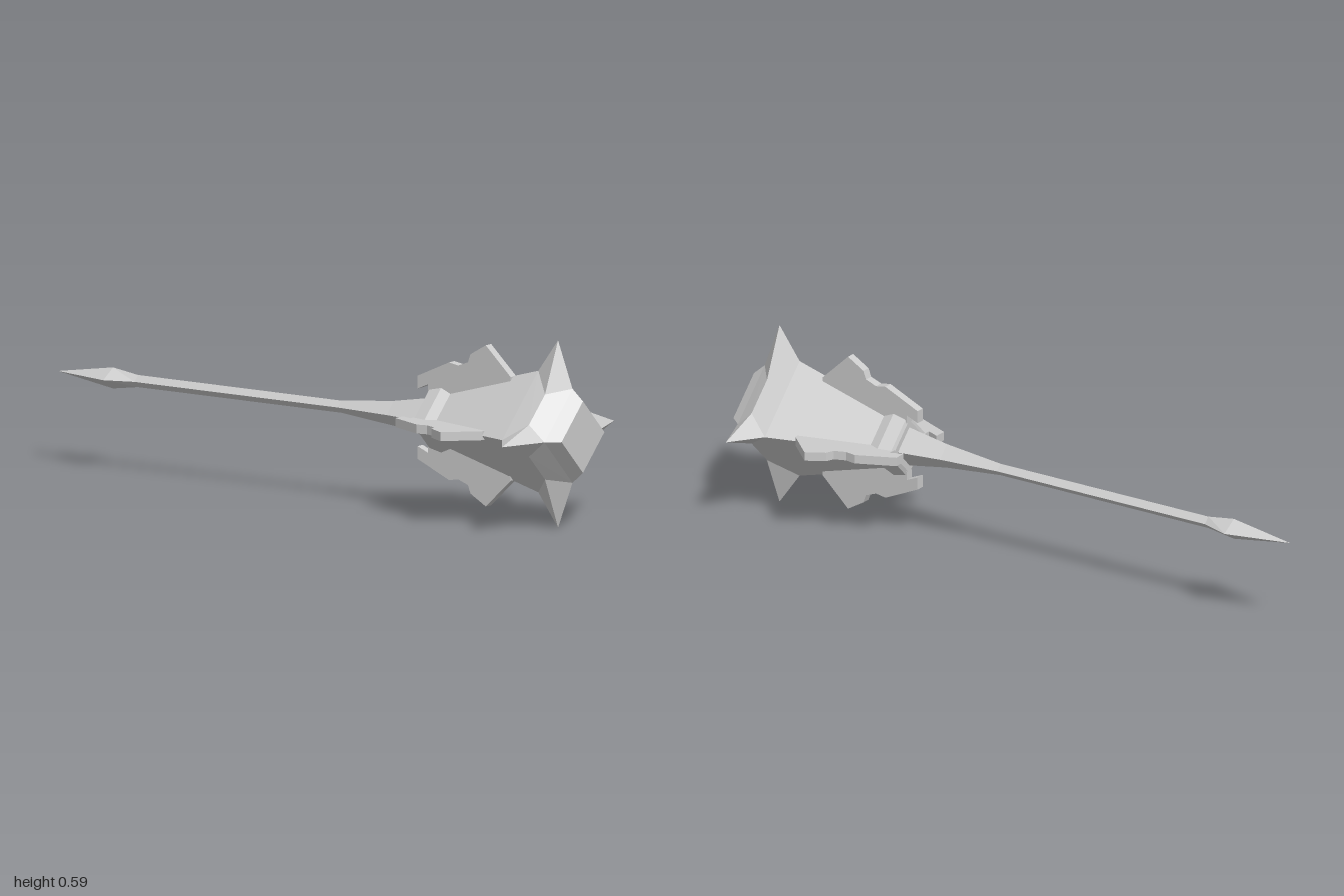
import * as THREE from 'three';

const steel = new THREE.MeshStandardMaterial({ color: 0xcccccc });
steel.name = 'steel';

// Diamond section as 12 points (corners doubled so it can join the spiked ring)
function diamond(x, ry, rz = ry) {
  const c = [[ry, 0], [0, rz], [-ry, 0], [0, -rz]];
  return [0, 0, 1, 1, 1, 2, 2, 2, 3, 3, 3, 0].map((i) => new THREE.Vector3(x, ...c[i]));
}

// Four-pointed star section
function star(x, r) {
  const pts = [[r, 0], [0.133, 0.068], [0.05, 0.152], [0, r], [-0.05, 0.152], [-0.133, 0.068],
    [-r, 0], [-0.133, -0.068], [-0.05, -0.152], [0, -r], [0.05, -0.152], [0.133, -0.068]];
  return pts.map(([y, z]) => new THREE.Vector3(x, y, z));
}

// Skin the sections in order of rising x, with both ends closed and flat facets
function loft(name, rings) {
  const pos = [];
  const tri = (a, b, c) => {
    if (new THREE.Triangle(a, b, c).getArea() > 1e-7) for (const p of [a, b, c]) pos.push(p.x, p.y, p.z);
  };
  const first = rings[0], last = rings[rings.length - 1], n = first.length;
  for (let j = 0; j < n; j++) {
    const k = (j + 1) % n;
    for (let i = 0; i < rings.length - 1; i++) {
      const [p, q] = [rings[i], rings[i + 1]];
      tri(p[j], p[k], q[k]);
      tri(p[j], q[k], q[j]);
    }
    tri(first[0], first[k], first[j]);
    tri(last[0], last[j], last[k]);
  }
  const geo = new THREE.BufferGeometry();
  geo.setAttribute('position', new THREE.Float32BufferAttribute(pos, 3));
  geo.computeVertexNormals();
  const mesh = new THREE.Mesh(geo, steel);
  mesh.name = name;
  return mesh;
}

export function createModel() {
  const mace = new THREE.Group();
  mace.name = 'mace';

  // Shaft with pointed pommel and flared neck
  mace.add(loft('shaft', [
    diamond(-1, 0, 0), diamond(-0.79, 0.033, 0.052), diamond(-0.695, 0.019),
    diamond(0.08, 0.019), diamond(0.28, 0.039), diamond(0.45, 0.068),
  ]));

  // Head: collar, widening body, ring of four spikes, blunt end
  mace.add(loft('head', [
    diamond(0.42, 0.088), diamond(0.425, 0.105), diamond(0.47, 0.115), diamond(0.505, 0.1),
    diamond(0.83, 0.19), star(0.905, 0.293), diamond(0.96, 0.147), diamond(1, 0.112),
  ]));

  // Four stepped fins along the corners of the head
  const outline = [[0.38, 0.09], [0.42, 0.107], [0.42, 0.08], [0.5, 0.08], [0.735, 0.15], [0.735, 0.162],
    [0.64, 0.252], [0.582, 0.218], [0.572, 0.192], [0.535, 0.178], [0.5, 0.184], [0.38, 0.13]];
  const shape = new THREE.Shape(outline.map(([x, y]) => new THREE.Vector2(x, y)));
  const finGeo = new THREE.ExtrudeGeometry(shape, { depth: 0.028, bevelEnabled: false });
  finGeo.translate(0, 0, -0.014);
  for (let i = 0; i < 4; i++) {
    const fin = new THREE.Mesh(finGeo, steel);
    fin.name = 'fin' + (i + 1);
    fin.rotation.x = i * Math.PI / 2;
    mace.add(fin);
  }

  mace.position.y = 0.293;
  const model = new THREE.Group();
  model.name = 'model';
  model.add(mace);
  return model;
}
